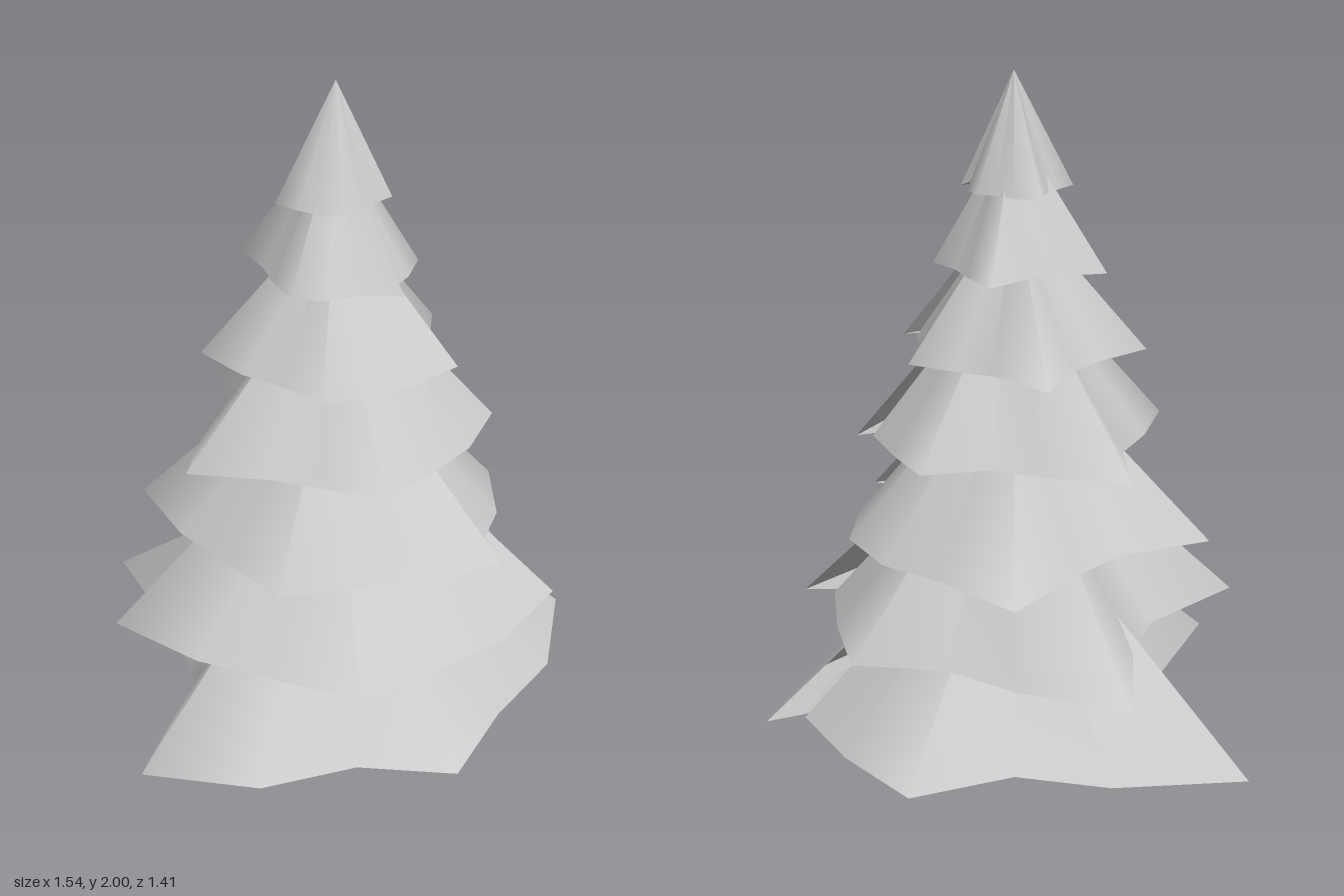
import * as THREE from 'three';

const SEGMENTS = 14;
const STEP = (Math.PI * 2) / SEGMENTS;
const CENTRE = [-0.02, 0.03];
const INSET = 0.855;

// Each tier: rim height, cone height, seam position in segments, and rim radii
// running once around from the seam (both ends of the open seam are listed).
const TIERS = [
  { y: 0, h: 0.72, seam: 0, r: [0.79, 0.69, 0.6, 0.69, 0.56, 0.685, 0.83, 0.48, 0.53, 0.88, 0.65, 0.52, 0.71, 0.65, 0.67] },
  { y: 0.3, h: 0.7, seam: 1, r: [0.69, 0.6, 0.55, 0.6, 0.535, 0.59, 0.72, 0.44, 0.46, 0.76, 0.56, 0.47, 0.62, 0.56, 0.59] },
  { y: 0.59, h: 0.62, seam: 2, r: [0.58, 0.5, 0.44, 0.505, 0.45, 0.5, 0.61, 0.4, 0.43, 0.64, 0.485, 0.5, 0.515, 0.5, 0.5] },
  { y: 0.885, h: 0.58, seam: 0.5, r: [0.48, 0.42, 0.39, 0.425, 0.35, 0.36, 0.515, 0.4, 0.36, 0.54, 0.37, 0.31, 0.44, 0.4, 0.43] },
  { y: 1.16, h: 0.47, seam: 1.5, r: [0.375, 0.32, 0.31, 0.33, 0.28, 0.32, 0.4, 0.28, 0.28, 0.42, 0.27, 0.28, 0.345, 0.28, 0.33] },
  { y: 1.43, h: 0.42, seam: 2.5, r: [0.27, 0.2, 0.22, 0.24, 0.21, 0.21, 0.3, 0.2, 0.19, 0.3, 0.22, 0.19, 0.24, 0.22, 0.22] },
  { y: 1.655, h: 0.345, seam: 1, r: [0.16, 0.12, 0.13, 0.145, 0.14, 0.15, 0.18, 0.13, 0.12, 0.185, 0.15, 0.12, 0.14, 0.14, 0.12] },
];

// Strip between two rings of the tier; a ring is { scale, y }
function ringStrip(tier, upper, lower) {
  const pos = [];
  const index = [];
  tier.r.forEach((r, i) => {
    const a = (tier.seam + i) * STEP;
    for (const ring of [upper, lower]) {
      pos.push(Math.cos(a) * r * ring.scale, ring.y, Math.sin(a) * r * ring.scale);
    }
    if (i < SEGMENTS) {
      const k = i * 2;
      index.push(k, k + 3, k + 1);
      if (upper.scale > 0 && lower.scale > 0) index.push(k, k + 2, k + 3);
    }
  });
  // A strip that closes to a point at its lower end needs the other triangle
  if (lower.scale === 0) {
    index.length = 0;
    for (let i = 0; i < SEGMENTS; i++) index.push(i * 2, i * 2 + 2, i * 2 + 1);
  }
  const geo = new THREE.BufferGeometry();
  geo.setAttribute('position', new THREE.Float32BufferAttribute(pos, 3));
  geo.setIndex(index);
  geo.computeVertexNormals();
  return geo;
}

export function createModel() {
  const foliage = new THREE.MeshStandardMaterial({ color: 0xcccccc, side: THREE.DoubleSide });
  foliage.name = 'foliage grey';

  const tree = new THREE.Group();
  tree.name = 'pineTree';

  TIERS.forEach((tier, i) => {
    const group = new THREE.Group();
    group.name = `branchTier${i + 1}`;
    group.position.set(CENTRE[0], tier.y, CENTRE[1]);

    const apex = { scale: 0, y: tier.h };
    const rim = { scale: 1, y: 0 };
    const innerRim = { scale: INSET, y: 0.01 };
    const hollow = { scale: 0, y: tier.h * 0.17 };

    const add = (name, from, to) => {
      const mesh = new THREE.Mesh(ringStrip(tier, from, to), foliage);
      mesh.name = name;
      group.add(mesh);
    };
    add('skirt', apex, rim); // sloping outer surface
    add('rim', rim, innerRim); // narrow band underneath
    add('underside', innerRim, hollow); // shallow hollow base
    tree.add(group);
  });
  return tree;
}
